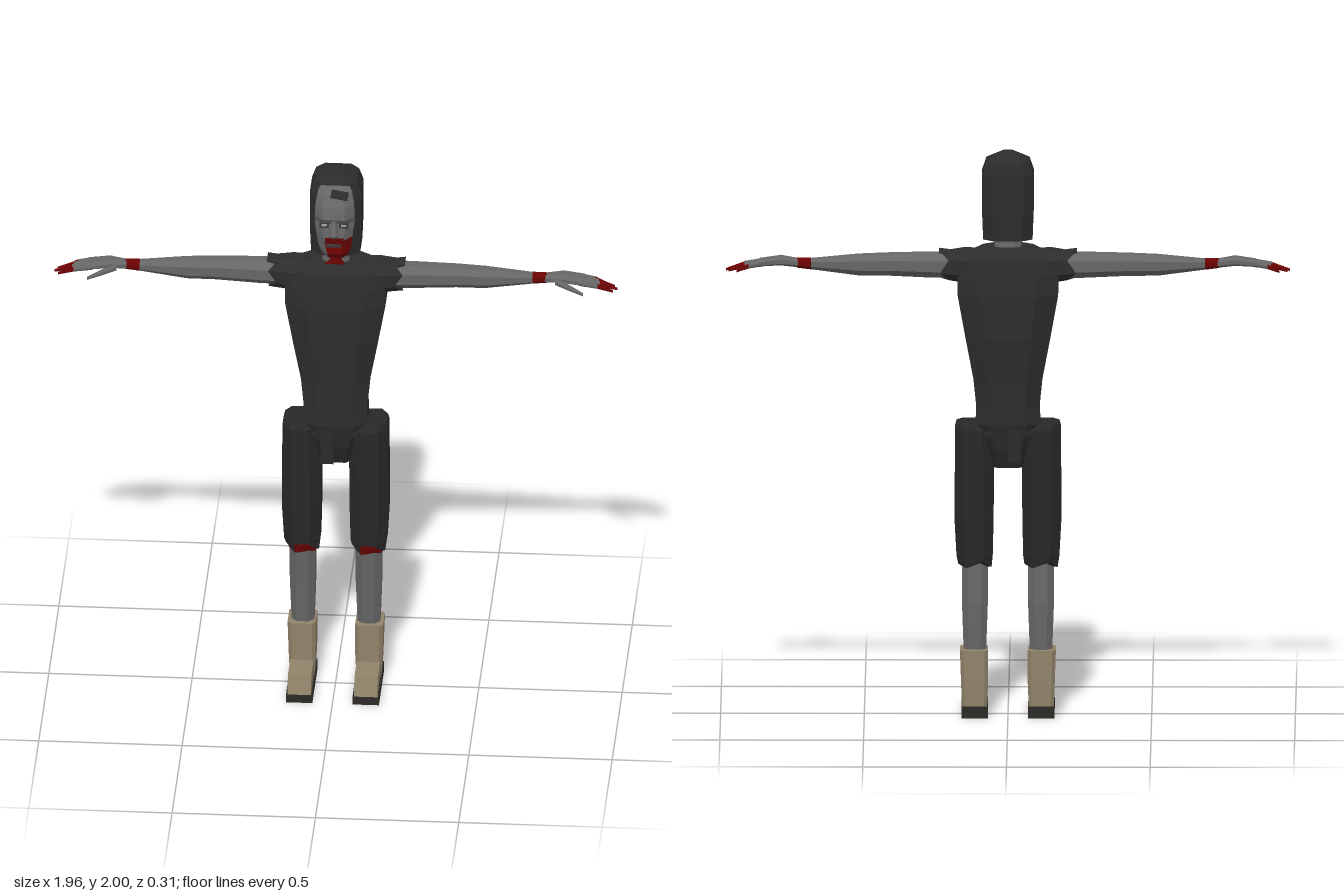
import * as THREE from 'three';

const mat = (name, color) => Object.assign(new THREE.MeshStandardMaterial({ color }), { name });

// Octagonal ring; k sets how square the corners are
const ring = (k) => [[1, k], [k, 1], [-k, 1], [-1, k], [-1, -k], [-k, -1], [k, -1], [1, -k]];

// Faceted loft. Sections: [t, centreU, centreV, radiusU, radiusV, jag]
// axis 'y': t=y, u=x, v=z; axis 'x': t=x, u=y, v=z
function loft(sections, axis = 'y', k = 0.5) {
  const pts = ring(k);
  const n = pts.length;
  const rows = sections.map(([t, cu, cv, ru, rv, jag = 0]) => pts.map(([a, b], j) => {
    const s = t + (j % 2 ? jag : 0), u = cu + a * ru, v = cv + b * rv;
    return axis === 'y' ? [u, s, v] : [s, u, v];
  }));
  const down = sections[sections.length - 1][0] < sections[0][0];
  const flip = (axis === 'y') !== down;
  const pos = [];
  const tri = (a, b, c) => (flip ? pos.push(...a, ...c, ...b) : pos.push(...a, ...b, ...c));
  for (let i = 0; i < rows.length - 1; i++) {
    for (let j = 0; j < n; j++) {
      const m = (j + 1) % n;
      tri(rows[i][j], rows[i][m], rows[i + 1][m]);
      tri(rows[i][j], rows[i + 1][m], rows[i + 1][j]);
    }
  }
  const first = rows[0], last = rows[rows.length - 1];
  for (let j = 1; j < n - 1; j++) {
    tri(first[0], first[j + 1], first[j]);
    tri(last[0], last[j], last[j + 1]);
  }
  const g = new THREE.BufferGeometry();
  g.setAttribute('position', new THREE.Float32BufferAttribute(pos, 3));
  g.computeVertexNormals();
  return g;
}

// Gives every triangle material 0 or 1 by a rule on its centre
function splitFaces(g, rule) {
  const p = g.attributes.position;
  for (let i = 0; i < p.count; i += 3) {
    const c = [p.getX(i) + p.getX(i + 1) + p.getX(i + 2), p.getY(i) + p.getY(i + 1) + p.getY(i + 2),
      p.getZ(i) + p.getZ(i + 1) + p.getZ(i + 2)].map((v) => v / 3);
    g.addGroup(i, 3, rule(...c) ? 1 : 0);
  }
  return g;
}

// Side profile in (z, y) extruded across x
function profile(points, width, x) {
  const shape = new THREE.Shape(points.map(([z, y]) => new THREE.Vector2(z, y)));
  const g = new THREE.ExtrudeGeometry(shape, { depth: width, bevelEnabled: false });
  return g.rotateY(-Math.PI / 2).translate(x + width / 2, 0, 0);
}

// Thin flat plate facing forward
function plate(points, z) {
  const shape = new THREE.Shape(points.map(([x, y]) => new THREE.Vector2(x, y)));
  return new THREE.ExtrudeGeometry(shape, { depth: 0.006, bevelEnabled: false }).translate(0, 0, z);
}

export function createModel() {
  const skin = mat('skin', 0x666666);
  const shirt = mat('shirt', 0x2d2d2d);
  const trousers = mat('trousers', 0x282828);
  const hair = mat('hair', 0x2c2c2c);
  const boot = mat('boot', 0x91836a);
  const sole = mat('sole', 0x2b2a27);
  const blood = mat('blood', 0x6a0303);
  const shade = mat('eye socket', 0x3c3c3c);
  const eye = mat('eye', 0xa0a0a0);

  const root = new THREE.Group();
  const add = (name, geo, material, parent = root) => {
    const m = new THREE.Mesh(geo, material);
    m.name = name;
    parent.add(m);
    return m;
  };
  const group = (name) => {
    const g = new THREE.Group();
    g.name = name;
    root.add(g);
    return g;
  };

  // Torso and hips
  add('shirt', loft([
    [1.0, 0, -0.025, 0.115, 0.08], [1.1, 0, -0.03, 0.11, 0.08], [1.2, 0, -0.037, 0.12, 0.084],
    [1.35, 0, -0.04, 0.148, 0.1], [1.5, 0, -0.042, 0.175, 0.106], [1.57, 0, -0.042, 0.175, 0.1],
    [1.63, 0, -0.042, 0.155, 0.09], [1.665, 0, -0.04, 0.085, 0.065],
  ], 'y', 0.55), shirt);
  add('hips', loft([
    [0.885, 0, -0.025, 0.06, 0.055], [0.95, 0, -0.025, 0.075, 0.075], [1.04, 0, -0.025, 0.112, 0.084],
  ], 'y', 0.6), trousers);
  for (const [name, z, tilt] of [['frontFlap', 0.088, -0.1], ['backFlap', -0.138, 0.1]]) {
    const flap = add(name, new THREE.BoxGeometry(0.045, 0.115, 0.014), trousers);
    flap.position.set(-0.023, 0.972, z);
    flap.rotation.x = tilt;
  }

  // Neck
  add('neck', loft([[1.62, 0, -0.035, 0.055, 0.055], [1.68, 0, -0.03, 0.045, 0.048],
    [1.74, 0, -0.03, 0.045, 0.048]]), skin);
  add('neckBlood', plate([[-0.035, 1.665], [0.035, 1.665], [0.012, 1.7], [-0.01, 1.69]], 0.021), blood);

  // Head
  const head = group('head');
  add('hair', loft([
    [1.7, 0, -0.06, 0.086, 0.086], [1.8, 0, -0.06, 0.09, 0.092], [1.93, 0, -0.06, 0.09, 0.092],
    [1.975, 0, -0.06, 0.075, 0.08], [2.0, 0, -0.04, 0.018, 0.03],
  ], 'y', 0.6), hair, head);
  add('face', loft([
    [1.79, 0, 0.01, 0.062, 0.074], [1.83, 0, 0.01, 0.068, 0.07], [1.85, 0, 0.01, 0.069, 0.066],
    [1.87, 0, 0.01, 0.069, 0.078], [1.91, 0, 0.01, 0.067, 0.068], [1.95, 0, 0.01, 0.06, 0.046],
    [1.972, 0, 0, 0.05, 0.03],
  ], 'y', 0.55), skin, head);
  add('jaw', splitFaces(loft([
    [1.712, 0.003, 0.02, 0.04, 0.05], [1.735, 0.003, 0.015, 0.052, 0.07],
    [1.765, 0, 0.01, 0.06, 0.07], [1.8, 0, 0.01, 0.062, 0.078],
  ]), (x, y) => x > -0.025 && y < 1.799), [skin, blood], head);
  add('mouth', new THREE.BoxGeometry(0.05, 0.01, 0.008).translate(0, 1.768, 0.083), shade, head);
  add('nose', loft([[1.8, 0, 0.08, 0.014, 0.015], [1.815, 0, 0.085, 0.016, 0.026],
    [1.865, 0, 0.075, 0.008, 0.012]]), skin, head);
  for (const s of [1, -1]) {
    add('eyeSocket', new THREE.BoxGeometry(0.034, 0.022, 0.008).translate(s * 0.034, 1.845, 0.075), shade, head);
    add('eye', new THREE.BoxGeometry(0.018, 0.007, 0.004).translate(s * 0.034, 1.846, 0.08), eye, head);
  }
  // Loose strand lying on the forehead
  const strand = add('strand', new THREE.BoxGeometry(0.06, 0.03, 0.009), hair, head);
  strand.position.set(0.018, 1.953, 0.056);
  strand.rotation.set(-0.6, 0, -0.15);

  for (const s of [1, -1]) {
    const side = s > 0 ? 'left' : 'right';
    // Arm pieces run outwards along x
    const arm = group(side + 'Arm');
    const limb = (name, rows, material, k = 0.45) =>
      add(name, loft(rows.map(([t, ...r]) => [s * t, ...r]), 'x', k), material, arm);
    limb('sleeve', [[0.08, 1.6, -0.042, 0.05, 0.075], [0.15, 1.597, -0.042, 0.058, 0.066],
      [0.205, 1.597, -0.042, 0.05, 0.052, s * 0.03]], shirt);
    limb('sleeveTip', [[0.16, 1.632, -0.042, 0.012, 0.035], [0.24, 1.648, -0.042, 0.007, 0.03]], shirt);
    limb('arm', [[0.16, 1.597, -0.042, 0.042, 0.046], [0.26, 1.598, -0.042, 0.043, 0.044],
      [0.42, 1.6, -0.043, 0.038, 0.038], [0.52, 1.598, -0.042, 0.036, 0.034],
      [0.69, 1.601, -0.042, 0.018, 0.019]], skin);
    limb('wristBlood', [[0.685, 1.601, -0.042, 0.019, 0.02], [0.735, 1.604, -0.041, 0.016, 0.019]], blood);
    limb('palm', [[0.73, 1.604, -0.041, 0.015, 0.02], [0.79, 1.612, -0.036, 0.016, 0.034],
      [0.865, 1.604, -0.033, 0.012, 0.036]], skin);
    // Fingers droop towards their tips
    [[-0.06, 0.945], [-0.043, 0.972], [-0.024, 0.982], [-0.005, 0.968]].forEach(([z, tip]) => {
      const mid = (tip + 0.86) / 2;
      limb('finger', [[0.85, 1.605, z, 0.009, 0.0085], [mid, 1.595, z, 0.008, 0.008]], skin);
      limb('fingertip', [[mid, 1.595, z, 0.008, 0.008], [tip, 1.577, z, 0.004, 0.005]], blood);
    });
    limb('thumb', [[0.765, 1.605, -0.012, 0.011, 0.012], [0.815, 1.596, 0.015, 0.009, 0.012],
      [0.865, 1.58, 0.032, 0.005, 0.006]], skin);

    // Leg
    const leg = group(side + 'Leg');
    add('trouserLeg', loft([
      [1.04, s * 0.135, -0.022, 0.044, 0.066], [1.02, s * 0.122, -0.022, 0.062, 0.08],
      [0.88, s * 0.117, -0.022, 0.068, 0.08], [0.7, s * 0.118, -0.023, 0.068, 0.072],
      [0.57, s * 0.116, -0.026, 0.063, 0.062], [0.53, s * 0.115, -0.026, 0.058, 0.058, 0.022],
    ], 'y', 0.5), trousers, leg);
    add('kneeBlood', loft([[0.56, s * 0.115, -0.012, 0.05, 0.05], [0.525, s * 0.115, -0.012, 0.047, 0.044, 0.012]]),
      blood, leg);
    add('shin', loft([[0.56, s * 0.115, -0.016, 0.046, 0.045], [0.4, s * 0.115, -0.03, 0.045, 0.044],
      [0.2, s * 0.115, -0.038, 0.038, 0.037]]), skin, leg);

    // Boot
    add('bootShaft', loft([[0.24, s * 0.118, -0.037, 0.049, 0.057], [0.12, s * 0.116, -0.037, 0.047, 0.056],
      [0.03, s * 0.116, -0.037, 0.043, 0.055]], 'y', 0.75), boot, leg);
    add('bootFoot', profile([[-0.085, 0.03], [0.153, 0.03], [0.132, 0.095], [-0.04, 0.098]], 0.082, s * 0.116), boot, leg);
    add('bootSole', profile([[-0.095, 0], [0.155, 0], [0.155, 0.03], [0, 0.034], [-0.095, 0.042]], 0.092, s * 0.116),
      sole, leg);
  }
  return root;
}
